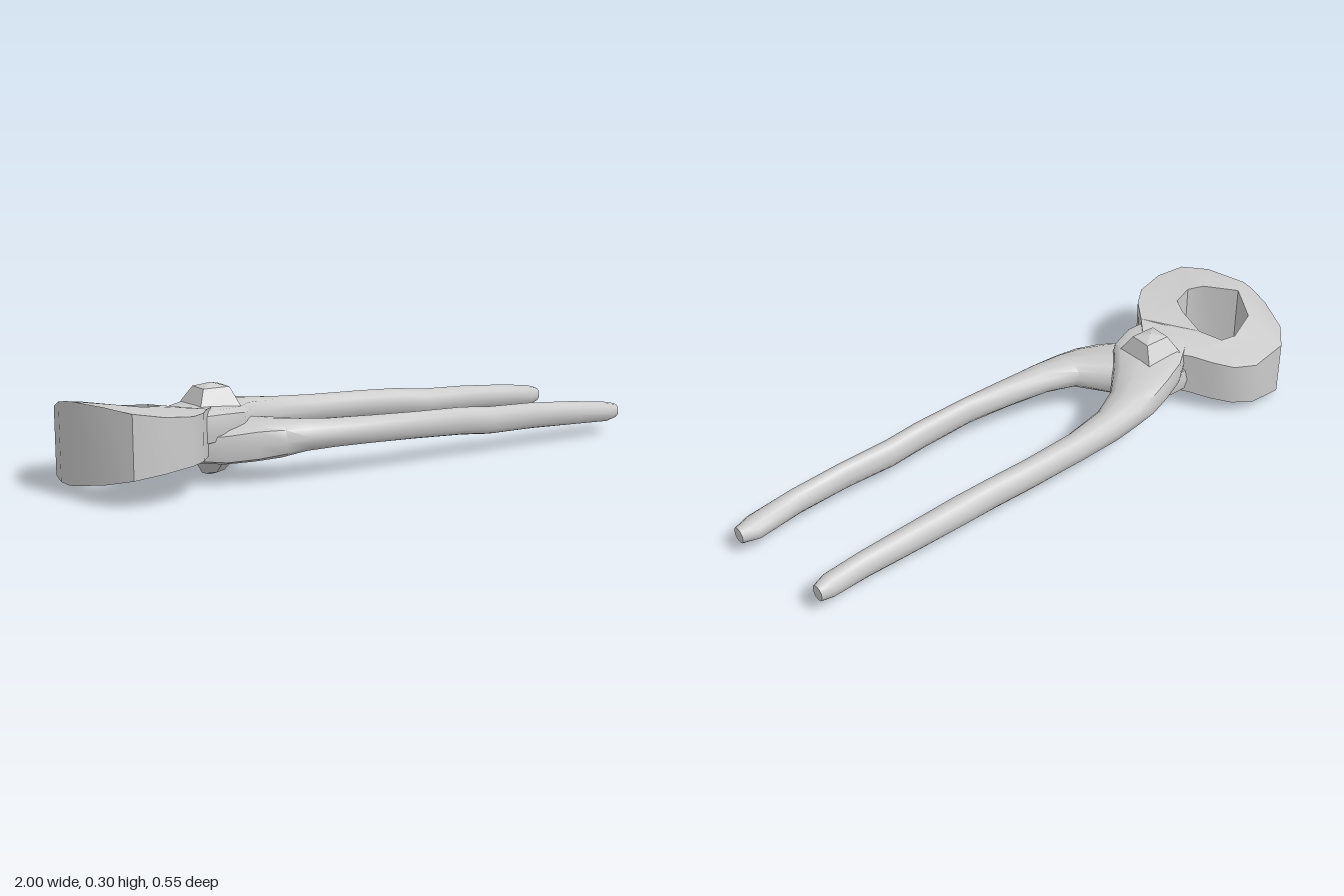
import * as THREE from 'three';
import { toCreasedNormals } from 'three/addons/utils/BufferGeometryUtils.js';

const material = new THREE.MeshStandardMaterial({ color: 0xcccccc });

function part(name, geometry, crease) {
  const mesh = new THREE.Mesh(toCreasedNormals(geometry, crease), material);
  mesh.name = name;
  return mesh;
}

// Sloping top and bottom faces of the jaw head
const headTop = (x, z) => 0.235 + (-0.6 - x) * 0.14 + 0.13 * z - 0.45 * z * z;
const headBottom = (x, z) => 0.08 - (-0.6 - x) * 0.11 + 0.13 * z + 0.15 * z * z;

function headGeometry() {
  const points = (list) => list.map(([x, z]) => new THREE.Vector2(x, -z));
  const shape = new THREE.Shape(points([
    [-1, 0.02], [-0.96, 0.16], [-0.91, 0.245], [-0.82, 0.27], [-0.72, 0.25], [-0.66, 0.2],
    [-0.605, 0.12], [-0.56, 0.06], [-0.56, -0.06], [-0.62, -0.13], [-0.66, -0.19],
    [-0.71, -0.245], [-0.78, -0.278], [-0.91, -0.267], [-0.96, -0.21], [-0.99, -0.1], [-1, -0.02],
  ]));
  shape.holes.push(new THREE.Path(points([
    [-0.955, 0], [-0.9, -0.11], [-0.8, -0.148], [-0.75, -0.135], [-0.715, -0.06],
    [-0.735, 0.05], [-0.76, 0.105], [-0.83, 0.125], [-0.88, 0.1],
  ])));
  const geometry = new THREE.ExtrudeGeometry(shape, { depth: 1, bevelEnabled: false });
  geometry.rotateX(-Math.PI / 2);
  const p = geometry.attributes.position;
  for (let i = 0; i < p.count; i++) {
    const x = p.getX(i), z = p.getZ(i);
    p.setY(i, p.getY(i) > 0.5 ? headTop(x, z) : headBottom(x, z));
  }
  return geometry;
}

// Loft along x; each station is [x, zMin, zMax, yMin, yMax, roundness]
function loft(stations, sides = 12) {
  const positions = [], index = [];
  const bend = (v, e) => Math.sign(v) * Math.abs(v) ** e;
  for (const [x, z0, z1, y0, y1, e = 0.85] of stations) {
    for (let j = 0; j < sides; j++) {
      const t = (j / sides) * Math.PI * 2;
      positions.push(
        x,
        (y0 + y1) / 2 + ((y1 - y0) / 2) * bend(Math.sin(t), e),
        (z0 + z1) / 2 + ((z1 - z0) / 2) * bend(Math.cos(t), e));
    }
  }
  const last = (stations.length - 1) * sides;
  for (let i = 0; i < stations.length - 1; i++) {
    for (let j = 0; j < sides; j++) {
      const a = i * sides + j, c = i * sides + (j + 1) % sides;
      index.push(a, a + sides, c, c, a + sides, c + sides);
    }
  }
  for (let j = 1; j < sides - 1; j++) {
    index.push(0, j, j + 1, last, last + j + 1, last + j);
  }
  const geometry = new THREE.BufferGeometry();
  geometry.setAttribute('position', new THREE.Float32BufferAttribute(positions, 3));
  geometry.setIndex(index);
  return geometry;
}

// Faceted rivet cap: a wide ring, a narrow ring and a point
function rivetGeometry(rings, apex, sides) {
  const geometry = new THREE.CylinderGeometry(1, 1, 1, sides, 1, true, Math.PI / sides);
  const cone = new THREE.ConeGeometry(1, 1, sides, 1, true, Math.PI / sides);
  const place = (g, high, low) => {
    const p = g.attributes.position;
    for (let i = 0; i < p.count; i++) {
      const r = p.getY(i) > 0 ? high : low;
      p.setXYZ(i, r.x + p.getX(i) * r.rx, r.y, r.z + p.getZ(i) * r.rz);
    }
    return g;
  };
  return [place(geometry, rings[1], rings[0]), place(cone, apex, rings[1])];
}

export function createModel() {
  const model = new THREE.Group();
  model.name = 'pincers';

  model.add(part('jawHead', headGeometry(), 0.6));

  // Upper arm crosses over the pivot to the back handle
  model.add(part('backHandle', loft([
    [-0.65, -0.07, 0.13, 0.12, 0.236, 0.4],
    [-0.55, -0.15, 0.13, 0.13, 0.235, 0.4],
    [-0.46, -0.19, 0.1, 0.12, 0.23, 0.5],
    [-0.38, -0.215, 0.01, 0.105, 0.222, 0.65],
    [-0.3, -0.226, -0.07, 0.095, 0.208],
    [-0.2, -0.235, -0.122, 0.09, 0.195],
    [-0.05, -0.24, -0.15, 0.087, 0.183],
    [0.15, -0.242, -0.16, 0.08, 0.175],
    [0.3, -0.238, -0.158, 0.072, 0.168],
    [0.42, -0.236, -0.15, 0.062, 0.155],
    [0.6, -0.238, -0.16, 0.058, 0.147],
    [0.78, -0.234, -0.165, 0.05, 0.133],
    [0.9, -0.238, -0.168, 0.044, 0.118],
    [0.945, -0.235, -0.185, 0.055, 0.105],
  ]), 0.8));

  // Lower arm crosses under the pivot to the front handle
  model.add(part('frontHandle', loft([
    [-0.65, -0.12, 0.08, 0.07, 0.16, 0.4],
    [-0.55, -0.12, 0.148, 0.062, 0.17, 0.4],
    [-0.46, -0.09, 0.188, 0.065, 0.185, 0.5],
    [-0.38, 0.0, 0.214, 0.072, 0.19, 0.65],
    [-0.3, 0.085, 0.225, 0.086, 0.188],
    [-0.2, 0.12, 0.23, 0.09, 0.182],
    [-0.05, 0.145, 0.228, 0.087, 0.177],
    [0.1, 0.162, 0.226, 0.083, 0.172],
    [0.3, 0.155, 0.222, 0.072, 0.165],
    [0.42, 0.15, 0.218, 0.06, 0.153],
    [0.6, 0.153, 0.214, 0.058, 0.147],
    [0.78, 0.145, 0.215, 0.05, 0.132],
    [0.94, 0.125, 0.209, 0.042, 0.112],
    [0.995, 0.138, 0.19, 0.05, 0.1],
  ]), 0.8));

  // Rivet caps above and below the pivot
  const top = rivetGeometry([
    { x: -0.52, y: 0.218, z: -0.027, rx: 0.105, rz: 0.11 },
    { x: -0.515, y: 0.284, z: -0.025, rx: 0.064, rz: 0.052 },
  ], { x: -0.515, y: 0.297, z: -0.025, rx: 0, rz: 0 }, 4);
  const bottom = rivetGeometry([
    { x: -0.52, y: -0.075, z: 0.005, rx: 0.088, rz: 0.08 },
    { x: -0.52, y: -0.016, z: 0.018, rx: 0.042, rz: 0.032 },
  ], { x: -0.52, y: 0, z: 0.035, rx: 0, rz: 0 }, 5);
  top.forEach((g) => model.add(part('topRivet', g, 0.3)));
  bottom.forEach((g) => model.add(part('bottomRivet', g.rotateX(Math.PI), 0.3)));

  return model;
}
